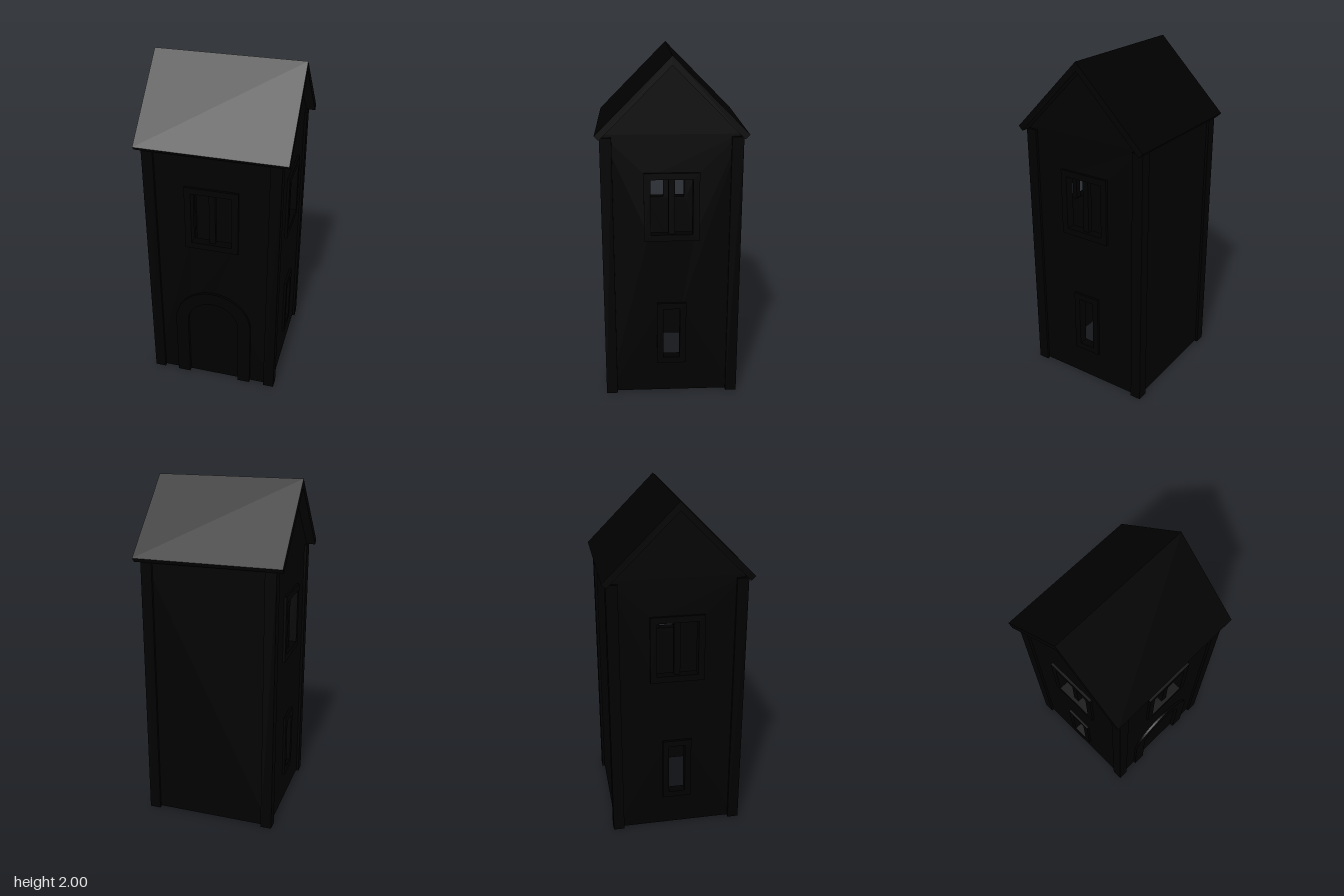
import * as THREE from 'three';

const black = new THREE.MeshStandardMaterial({ color: 0x000000 });
black.name = 'black';

const OUT = 0.375, IN = 0.335, FACE = 0.39; // wall outside, wall inside, trim face

// outline from [x, y] points
const poly = (pts, Type = THREE.Shape) => new Type(pts.map(([x, y]) => new THREE.Vector2(x, y)));
const rect = (w, y0, y1, Type) => poly([[-w, y0], [w, y0], [w, y1], [-w, y1]], Type);

// round-headed outline of half width r, springing at height s
function arch(r, s, Type = THREE.Shape) {
  const p = new Type();
  p.moveTo(-r, 0);
  p.lineTo(r, 0);
  p.lineTo(r, s);
  p.absarc(0, s, r, 0, Math.PI, false);
  p.lineTo(-r, 0);
  return p;
}

// plate facing +z between depths z0 and z1
function plate(name, shape, z0, z1) {
  const geo = new THREE.ExtrudeGeometry(shape, { depth: z1 - z0, bevelEnabled: false, curveSegments: 16 });
  geo.translate(0, 0, z0);
  const mesh = new THREE.Mesh(geo, black);
  mesh.name = name;
  return mesh;
}

function box(name, w, h, d, x, y, z) {
  const mesh = new THREE.Mesh(new THREE.BoxGeometry(w, h, d), black);
  mesh.position.set(x, y, z);
  mesh.name = name;
  return mesh;
}

// framed opening, with an optional centre bar
function windowFrame(name, w, y0, y1, bar) {
  const g = new THREE.Group();
  g.name = name;
  const shape = rect(w + 0.037, y0 - 0.037, y1 + 0.037);
  shape.holes.push(rect(w, y0, y1, THREE.Path));
  g.add(plate('frame', shape, IN, FACE));
  if (bar) g.add(box('mullion', 0.036, y1 - y0, 0.03, 0, (y0 + y1) / 2, (IN + OUT) / 2));
  return g;
}

export function createModel() {
  const model = new THREE.Group();
  model.name = 'towerHouse';

  // front wall with door and window openings
  const front = poly([[-OUT, 0.008], [-0.19, 0.008], [-0.19, 0.42], [-0.135, 0.555], [0, 0.61],
    [0.135, 0.555], [0.19, 0.42], [0.19, 0.008], [OUT, 0.008], [OUT, 1.57], [-OUT, 1.57]]);
  front.holes.push(rect(0.13, 1.0, 1.34, THREE.Path));
  model.add(plate('frontWall', front, IN, OUT));
  model.add(windowFrame('frontWindow', 0.118, 1.01, 1.33, true));

  // arched door and its surround
  const surround = arch(0.235, 0.42);
  const doorway = poly([[-0.157, 0], [0.157, 0], [0.157, 0.42]], THREE.Path);
  doorway.absarc(0, 0.42, 0.157, 0, Math.PI, false);
  doorway.lineTo(-0.157, 0);
  // legs and head traced as one closed band
  const band = new THREE.Shape();
  band.moveTo(0.157, 0);
  band.lineTo(0.235, 0);
  band.lineTo(0.235, 0.42);
  band.absarc(0, 0.42, 0.235, 0, Math.PI, false);
  band.lineTo(-0.235, 0);
  band.lineTo(-0.157, 0);
  band.lineTo(-0.157, 0.42);
  band.absarc(0, 0.42, 0.157, Math.PI, 0, true);
  band.lineTo(0.157, 0);
  model.add(plate('doorSurround', band, IN, FACE));
  model.add(plate('door', arch(0.16, 0.42), IN + 0.005, OUT - 0.01));

  // back wall
  model.add(plate('backWall', rect(OUT, 0.008, 1.57), -OUT, -IN));

  // gabled side walls with two windows each
  for (const side of [1, -1]) {
    const g = new THREE.Group();
    g.name = side > 0 ? 'leftSide' : 'rightSide';
    const gable = poly([[-OUT, 0.008], [OUT, 0.008], [OUT, 1.58], [0, 1.955], [-OUT, 1.58]]);
    gable.holes.push(rect(0.13, 1.0, 1.34, THREE.Path), rect(0.06, 0.225, 0.56, THREE.Path));
    g.add(plate('gableWall', gable, IN, OUT));
    g.add(windowFrame('upperWindow', 0.118, 1.01, 1.33, true));
    g.add(windowFrame('lowerWindow', 0.048, 0.235, 0.55, false));
    g.rotation.y = side * Math.PI / 2;
    model.add(g);
  }

  // corner posts
  for (const x of [-1, 1]) for (const z of [-1, 1]) {
    model.add(box('cornerPost', 0.065, 1.565, 0.065, x * 0.3575, 0.7825, z * 0.3575));
  }

  // pitched roof with square-cut eaves
  const roof = plate('roof', poly([[0, 2], [-0.415, 1.585], [-0.39, 1.56], [0, 1.95],
    [0.39, 1.56], [0.415, 1.585]]), -0.428, 0.428);
  roof.rotation.y = Math.PI / 2;
  model.add(roof);

  return model;
}
